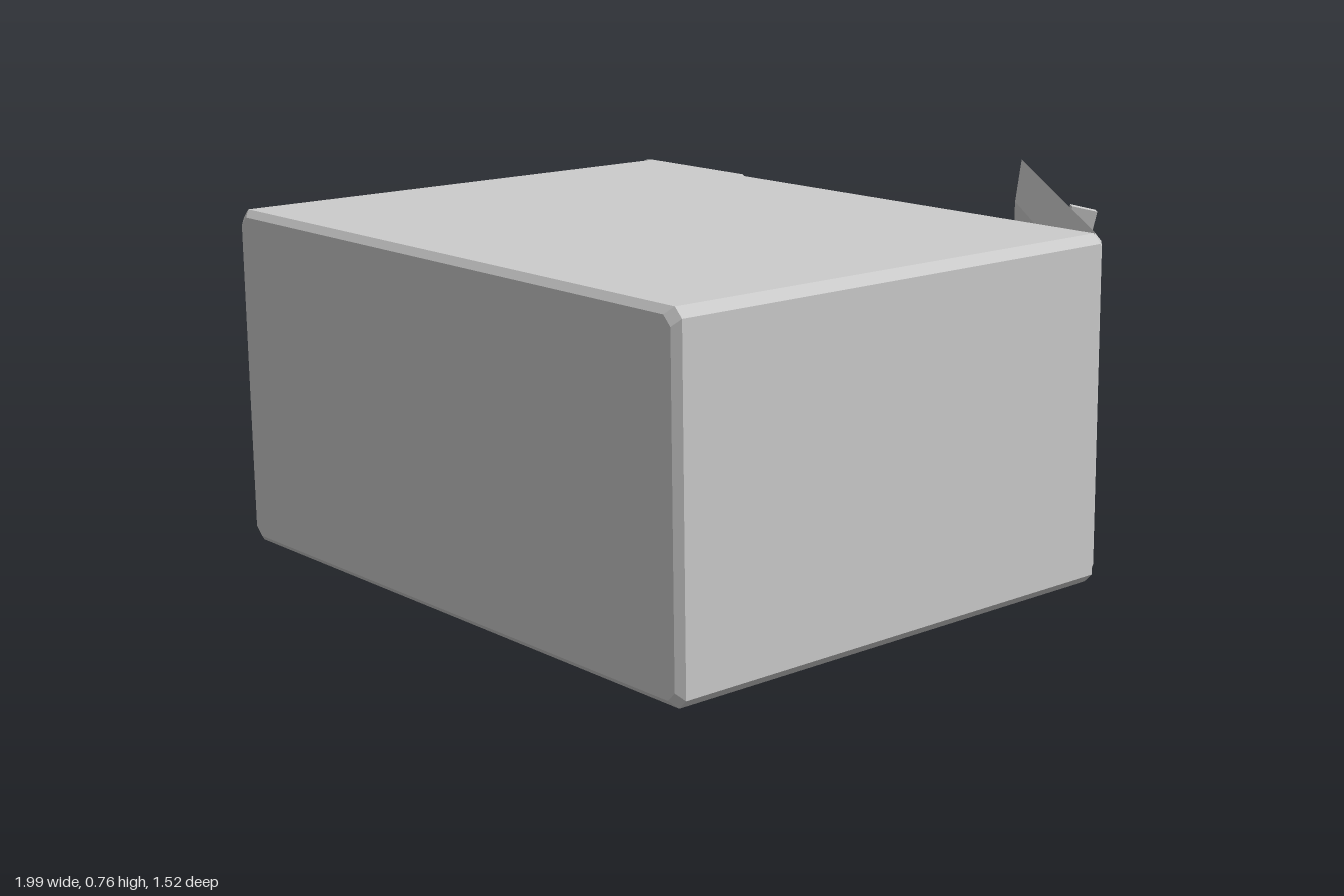
import * as THREE from 'three';

const H = 0.765, Z = 0.76;
const material = new THREE.MeshStandardMaterial({ color: 0xcccccc, flatShading: true, side: THREE.DoubleSide });

function add(parent, name, geometry) {
  const mesh = new THREE.Mesh(geometry, material);
  mesh.name = name;
  parent.add(mesh);
  return mesh;
}

// Rectangle section with cut corners: local x range, y range, depth along z
const rect = (a0, a1, b0, b1, w, c = 0.003) => [
  [a1, b0 + c, w], [a1, b1 - c, w], [a1 - c, b1, w], [a0 + c, b1, w],
  [a0, b1 - c, w], [a0, b0 + c, w], [a0 + c, b0, w], [a1 - c, b0, w],
];

// Capped skin through a list of sections; skip(level, side) leaves a gap
function loft(sections, skip = () => false) {
  const pos = [];
  const tri = (...p) => p.forEach(v => pos.push(...v));
  const first = sections[0], last = sections[sections.length - 1];
  for (let i = 1; i < 7; i++) {
    tri(first[0], first[i + 1], first[i]);
    tri(last[0], last[i], last[i + 1]);
  }
  for (let k = 0; k < sections.length - 1; k++) {
    for (let i = 0; i < 8; i++) {
      if (skip(k, i)) continue;
      const j = (i + 1) % 8, p = sections[k], q = sections[k + 1];
      tri(p[i], p[j], q[j]);
      tri(p[i], q[j], q[i]);
    }
  }
  const g = new THREE.BufferGeometry();
  g.setAttribute('position', new THREE.Float32BufferAttribute(pos, 3));
  g.computeVertexNormals();
  return g;
}

export function createModel() {
  const model = new THREE.Group();
  model.name = 'microwaveOven';

  // Casing and panel are drawn facing local +z, then turned to face +x
  const oven = new THREE.Group();
  oven.name = 'oven';
  oven.rotation.y = Math.PI / 2;
  model.add(oven);

  // Hollow casing with a deep cavity; its -z side is filled by the dented plate
  const e = 0.015;
  add(oven, 'casing', loft([
    rect(-Z + e, Z - e, e, H - e, -1, 0.02),
    rect(-Z, Z, 0, H, -1 + e, 0.02),
    rect(-Z, Z, 0, H, 0.16, 0.02),
    rect(-Z + e, Z - e, e, H - e, 0.174, 0.02),
    rect(-0.735, 0.36, 0.035, 0.74, 0.174),
    rect(-0.735, 0.36, 0.035, 0.74, -0.93),
  ], (level, side) => level === 1 && side === 0));

  // Raised control panel
  add(oven, 'controlPanel', loft([
    rect(0.385, Z, 0, H, 0.16, 0.01),
    rect(0.385, Z, 0, H, 0.177, 0.01),
    rect(0.4, Z - 0.02, 0.02, H - 0.02, 0.192, 0.01),
  ]));

  // Keypad with two missing buttons
  const keypad = new THREE.Group();
  keypad.name = 'keypad';
  oven.add(keypad);
  ['111', '110', '011', '111'].forEach((row, r) => [...row].forEach((on, c) => {
    if (on === '0') return;
    const a = 0.465 + c * 0.066, b = 0.353 - r * 0.07;
    add(keypad, 'button', loft([
      rect(a, a + 0.064, b, b + 0.066, 0.185),
      rect(a, a + 0.064, b, b + 0.066, 0.196),
      rect(a + 0.007, a + 0.057, b + 0.007, b + 0.059, 0.203),
    ]));
  }));

  // Side plate with a jagged shallow dent
  const plate = new THREE.Shape([[-0.985, 0.02], [0.16, 0.02], [0.16, H - 0.02], [-0.985, H - 0.02]]
    .map(p => new THREE.Vector2(...p)));
  const dent = [[0.02, 0.575], [-0.13, 0.59], [-0.31, 0.665], [-0.3, 0.46], [-0.675, 0.495],
    [-0.6, 0.225], [-0.34, 0.06], [0.055, 0.28], [-0.105, 0.39]].map(p => new THREE.Vector2(...p));
  plate.holes.push(new THREE.Path(dent));
  add(model, 'sidePlate', new THREE.ExtrudeGeometry(plate, { depth: 0.012, bevelEnabled: false }))
    .position.z = -Z;
  const dentFloor = add(model, 'dentFloor', new THREE.ShapeGeometry(new THREE.Shape(dent)));
  dentFloor.position.z = -Z + 0.012;

  // Open door, hinged on the +z edge: local x runs along it, +z is its outside
  const door = new THREE.Group();
  door.name = 'door';
  door.position.set(0.175, 0, 0.75);
  door.rotation.y = 0.88;
  model.add(door);
  const L = 1.115;
  add(door, 'doorPanel', loft([
    rect(0.09, L - 0.12, 0.09, H - 0.09, -0.045),
    rect(0, L, 0.005, H, -0.014, 0.01),
    rect(0.02, L - 0.025, 0.022, H - 0.022, 0.004, 0.01),
    rect(0.085, 1.02, 0.095, 0.675, 0.004),
    rect(0.085, 1.02, 0.095, 0.675, -0.036),
  ]));

  // Loose handle, still fixed at its lower end and tilted outward
  const handle = new THREE.Group();
  handle.name = 'handle';
  handle.position.set(1.06, 0.145, 0.045);
  handle.rotation.x = 0.225;
  door.add(handle);
  add(handle, 'handleBar', new THREE.BoxGeometry(0.035, 0.51, 0.028)).position.set(0, 0.255, 0);
  for (const y of [0.02, 0.49]) {
    add(handle, 'handlePost', new THREE.BoxGeometry(0.035, 0.04, 0.045)).position.set(0, y, -0.03);
  }
  return model;
}
